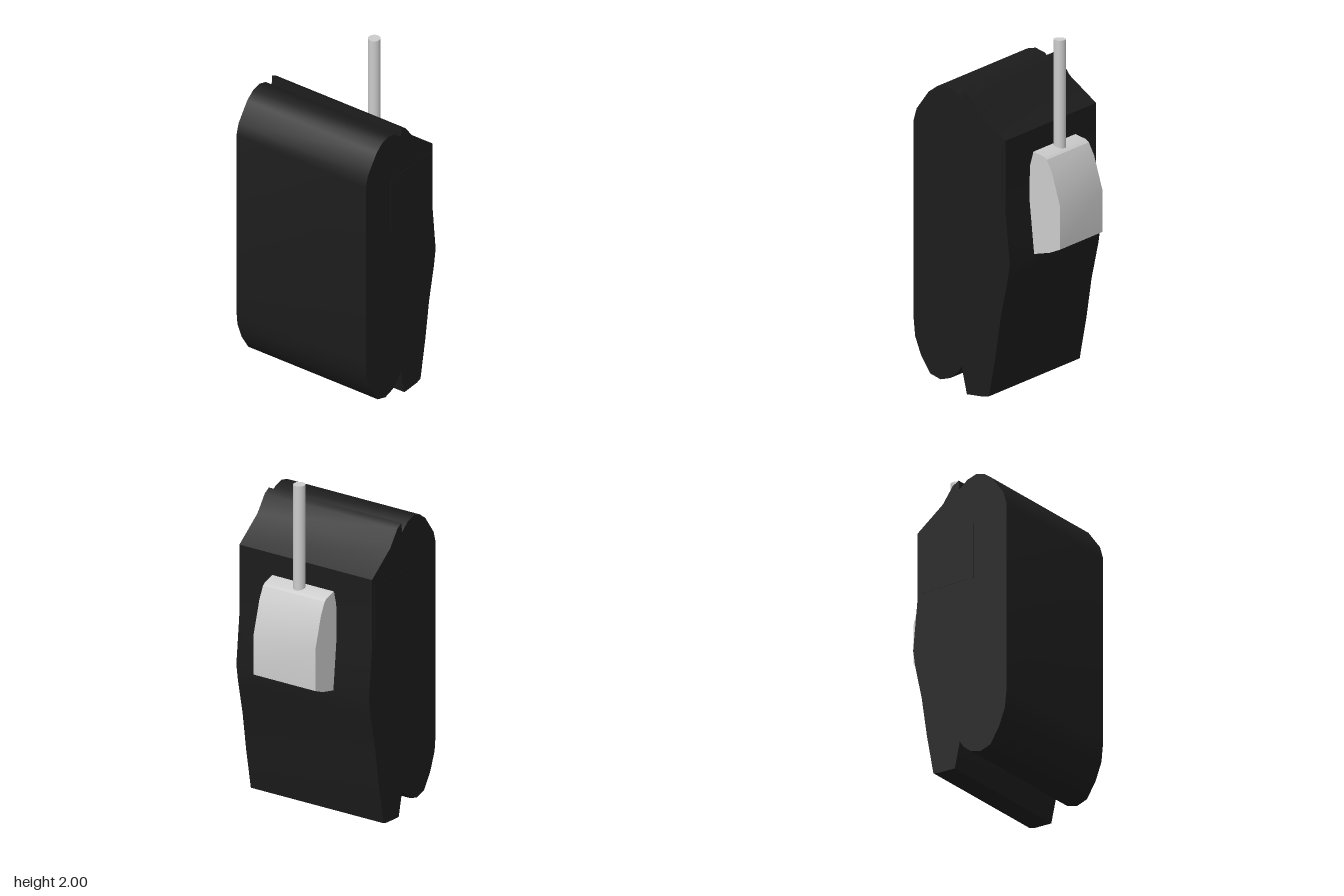
import * as THREE from 'three';
import { toCreasedNormals } from 'three/addons/utils/BufferGeometryUtils.js';

const black = new THREE.MeshStandardMaterial({ color: 0x1c1c1c });
const grey = new THREE.MeshStandardMaterial({ color: 0xcccccc });

// Side profile given as [z, y] points, extruded across x and centred on x = 0
function slab(name, profile, width, material, crease) {
  const shape = new THREE.Shape(profile.map(([z, y]) => new THREE.Vector2(-z, y)));
  let geometry = new THREE.ExtrudeGeometry(shape, { depth: width, bevelEnabled: false });
  geometry.translate(0, 0, -width / 2);
  geometry.rotateY(Math.PI / 2);
  geometry = toCreasedNormals(geometry, crease);
  const mesh = new THREE.Mesh(geometry, material);
  mesh.name = name;
  return mesh;
}

export function createModel() {
  const model = new THREE.Group();
  model.name = 'deviceWithAntenna';

  // Front half: tall slab with rounded top and bottom
  model.add(slab('frontShell', [
    [0.41, 0.38], [0.41, 1.53], [0.39, 1.6], [0.31, 1.71], [0.255, 1.75],
    [0.2, 1.763], [0.14, 1.745], [0.085, 1.7], [0.085, 0.16], [0.115, 0.115],
    [0.165, 0.075], [0.23, 0.057], [0.3, 0.08], [0.36, 0.175], [0.4, 0.28],
  ], 0.9, black, 0.8));

  // Rear half: sloped shoulder, slight bulge, tapering to the foot
  model.add(slab('rearShell', [
    [0.085, 0.14], [0.085, 1.69], [0.08, 1.757], [0.04, 1.735], [-0.03, 1.64],
    [-0.205, 1.51], [-0.205, 1.1], [-0.235, 0.8], [-0.22, 0.7], [-0.175, 0.49],
    [-0.14, 0.255], [-0.095, 0.012], [-0.06, 0.004], [0.053, 0],
  ], 0.9, black, 0.5));

  // Hinge block joining the two halves, flush with the sides
  const hinge = new THREE.Mesh(new THREE.BoxGeometry(0.903, 0.33, 0.37), black);
  hinge.position.set(0, 1.3, 0);
  hinge.name = 'hingeBlock';
  model.add(hinge);

  // Grey pack on the back
  model.add(slab('backPack', [
    [-0.2, 1.1], [-0.208, 1.31], [-0.23, 1.393], [-0.3, 1.375], [-0.32, 1.36],
    [-0.355, 1.29], [-0.41, 1.1], [-0.41, 0.855], [-0.34, 0.825], [-0.232, 0.8],
  ], 0.418, grey, 0.4));

  // Antenna rod
  const antenna = new THREE.Mesh(new THREE.CylinderGeometry(0.035, 0.035, 0.65, 24), grey);
  antenna.position.set(0, 1.675, -0.266);
  antenna.name = 'antenna';
  model.add(antenna);

  return model;
}
